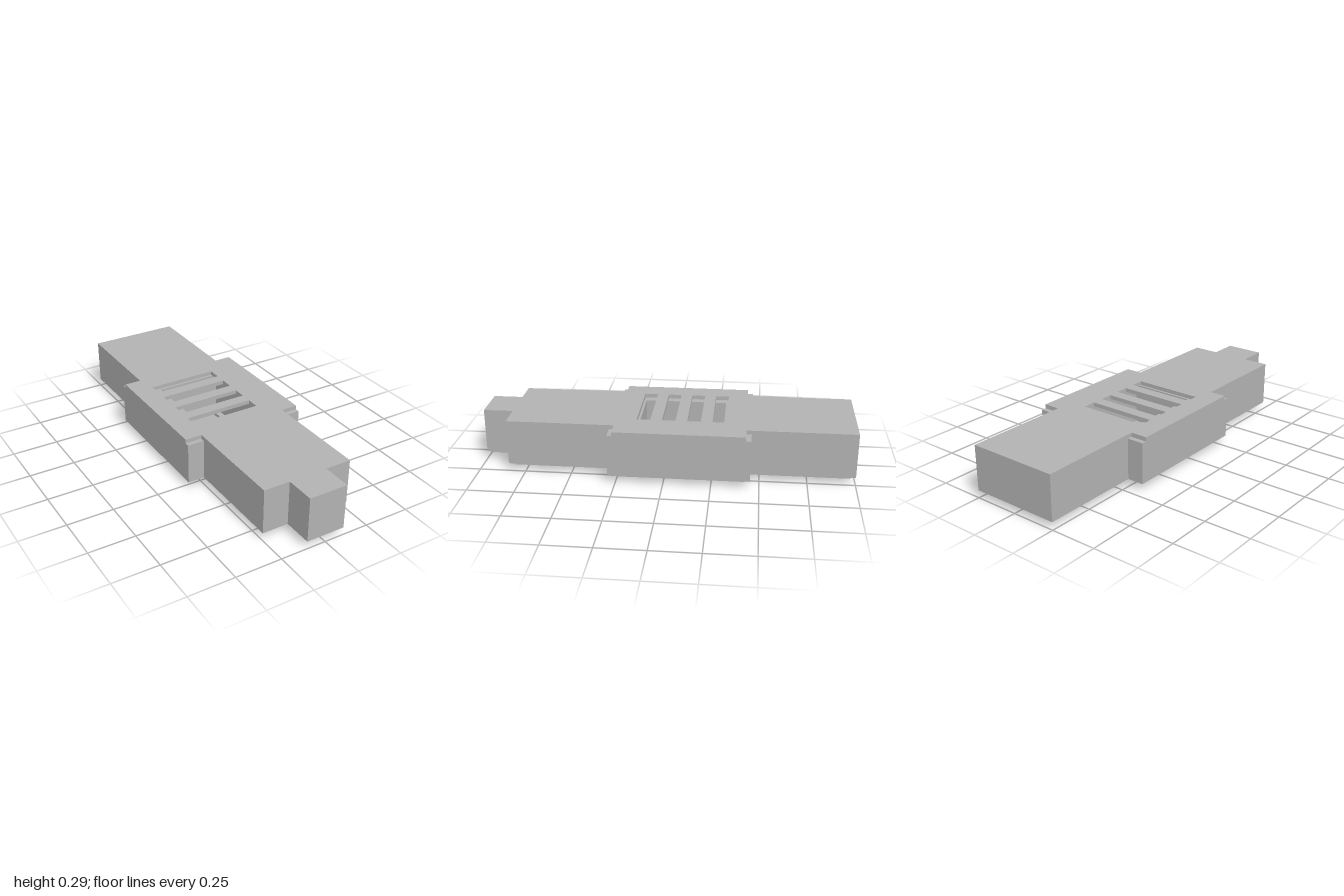
import * as THREE from 'three';

// Stepped plan outline; inset shrinks it, zBack/zFront bound the wide middle section.
function outline(inset, zBack, zFront) {
  const stub = 0.106 - inset, narrow = 0.249 - inset, wide = 0.34 - inset;
  const half = [
    [stub, 1 - inset], [stub, 0.84 - inset],
    [narrow, 0.84 - inset], [narrow, zFront],
    [wide, zFront], [wide, zBack],
    [narrow, zBack], [narrow, -1 + inset],
  ];
  const other = half.map(([x, z]) => [-x, z]).reverse();
  return new THREE.Shape([...half, ...other].map(([x, z]) => new THREE.Vector2(x, -z)));
}

function rectangle(x0, x1, z0, z1) {
  return [[x0, z0], [x0, z1], [x1, z1], [x1, z0]].map(([x, z]) => new THREE.Vector2(x, -z));
}

// Upright slab from a plan shape, between two heights
function slab(name, shape, holes, y0, y1, material) {
  for (const hole of holes) shape.holes.push(new THREE.Path(hole));
  const geometry = new THREE.ExtrudeGeometry(shape, { depth: y1 - y0, bevelEnabled: false });
  geometry.rotateX(-Math.PI / 2).translate(0, y0, 0);
  const mesh = new THREE.Mesh(geometry, material);
  mesh.name = name;
  return mesh;
}

export function createModel() {
  const grey = new THREE.MeshStandardMaterial({ color: 0xb2b2b2 });
  grey.name = 'grey';
  const group = new THREE.Group();
  group.name = 'ventedHousing';

  // Four parallel vent slots through the lid
  const slots = [];
  for (let i = 0; i < 4; i++) {
    const z = -0.318 + i * 0.134;
    slots.push(rectangle(-0.225, 0.155, z, z + 0.072));
  }

  group.add(
    // Lid, whose wide section is shorter and leaves ledges at the corners
    slab('lid', outline(0, -0.425, 0.265), slots, 0.265, 0.287, grey),
    // Main body with the chamber under the vents
    slab('body', outline(0, -0.453, 0.29), [rectangle(-0.18, 0.18, -0.305, 0.143)], 0.042, 0.265, grey),
    // Inset base with a smaller opening
    slab('base', outline(0.027, -0.426, 0.263), [rectangle(-0.148, 0.148, -0.273, 0.108)], 0.024, 0.042, grey),
    // Cover closing the opening from below
    slab('bottomCover', new THREE.Shape(rectangle(-0.18, 0.18, -0.305, 0.143)), [], 0, 0.024, grey),
  );
  return group;
}
